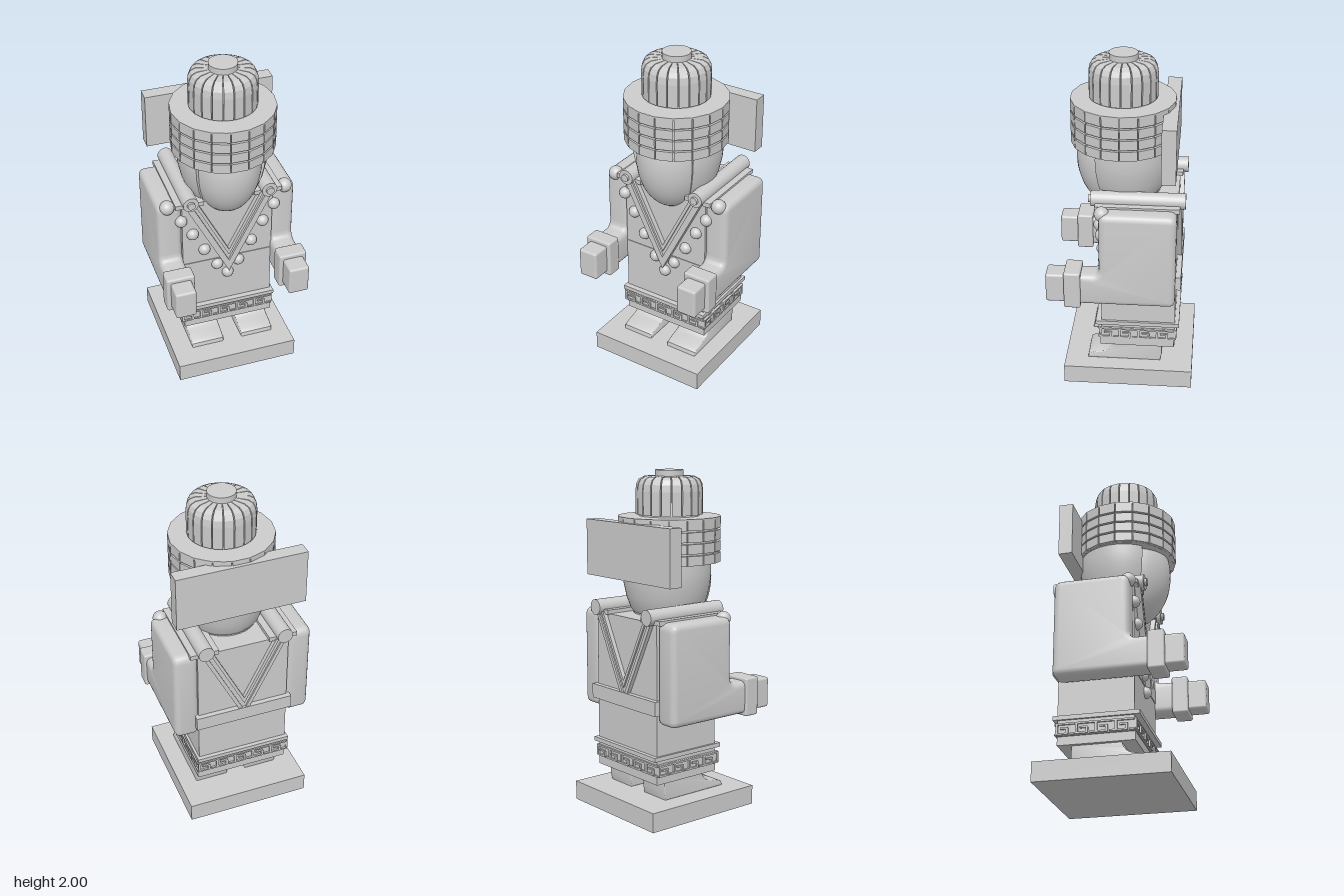
import * as THREE from 'three';
import { RoundedBoxGeometry } from 'three/addons/geometries/RoundedBoxGeometry.js';
import { toCreasedNormals } from 'three/addons/utils/BufferGeometryUtils.js';

const grey = new THREE.MeshStandardMaterial({ color: 0xcccccc });
const greyDouble = new THREE.MeshStandardMaterial({ color: 0xcccccc, side: THREE.DoubleSide });

export function createModel() {
  const root = new THREE.Group();
  const group = (name) => {
    const g = new THREE.Group();
    g.name = name;
    root.add(g);
    return g;
  };
  const add = (name, geo, x = 0, y = 0, z = 0, parent = root, mat = grey) => {
    const m = new THREE.Mesh(geo, mat);
    m.name = name;
    m.position.set(x, y, z);
    parent.add(m);
    return m;
  };
  // box given by its limits on each axis, optionally rounded
  const box = (name, x0, x1, y0, y1, z0, z1, parent = root, r = 0) => {
    const s = [x1 - x0, y1 - y0, z1 - z0];
    const geo = r ? new RoundedBoxGeometry(...s, 3, r) : new THREE.BoxGeometry(...s);
    return add(name, geo, (x0 + x1) / 2, (y0 + y1) / 2, (z0 + z1) / 2, parent);
  };
  const polygon = (pts) => new THREE.Shape(pts.map(([x, y]) => new THREE.Vector2(x, y)));
  // ring sector with an (r, y) profile, centred on angle a (0 = front)
  const wedge = (profile, a, span) => {
    const geo = new THREE.ExtrudeGeometry(polygon(profile), { depth: 1, bevelEnabled: false });
    const p = geo.attributes.position;
    for (let i = 0; i < p.count; i++) {
      const r = p.getX(i), t = a + (0.5 - p.getZ(i)) * span;
      p.setXYZ(i, r * Math.sin(t), p.getY(i), r * Math.cos(t));
    }
    geo.computeVertexNormals();
    return geo;
  };
  // side profile in (z, y), extruded across x and centred on x
  const sideExtrude = (shape, width, bevel) => {
    const geo = new THREE.ExtrudeGeometry(shape, {
      depth: width - 2 * bevel, bevelEnabled: bevel > 0, bevelSize: bevel,
      bevelThickness: bevel, bevelOffset: -bevel, bevelSegments: 4, curveSegments: 8,
    });
    geo.translate(0, 0, -(width - 2 * bevel) / 2);
    geo.rotateY(-Math.PI / 2);
    return toCreasedNormals(geo, 0.6);
  };

  box('base', -0.375, 0.375, 0, 0.115, -0.43, 0.34);

  // feet: rounded toe, instep and heel
  const foot = new THREE.Shape();
  foot.moveTo(-0.235, 0.115);
  foot.lineTo(0.205, 0.115);
  foot.lineTo(0.2, 0.14);
  foot.quadraticCurveTo(0.18, 0.155, 0.1, 0.17);
  foot.quadraticCurveTo(0.055, 0.18, 0.04, 0.24);
  foot.lineTo(-0.245, 0.24);
  foot.lineTo(-0.245, 0.16);
  foot.closePath();
  for (const s of [-1, 1]) add('foot', sideExtrude(foot, 0.205, 0.008), 0.01 + s * 0.16, 0, 0);

  // skirt and torso
  box('skirt', -0.275, 0.28, 0.23, 0.7, -0.32, 0.12);
  box('torso', -0.275, 0.28, 0.7, 1.17, -0.32, 0.12);
  box('hemTrim', -0.288, 0.295, 0.375, 0.4, -0.345, 0.153);
  box('hemBottom', -0.275, 0.288, 0.23, 0.285, -0.315, 0.125);
  box('hemBand', -0.288, 0.286, 0.28, 0.352, -0.32, 0.128);

  // raised meander on all four sides of the hem
  const strokes = [[0, 0.029, 1, 0.01], [-0.45, 0, 0.12, 0.06], [-0.2, -0.029, 0.6, 0.01],
    [0.08, -0.014, 0.12, 0.034], [-0.08, 0.003, 0.4, 0.01], [0.36, -0.029, 0.3, 0.01]];
  const meander = group('hemMeander');
  const face = (length, count, x, z, turn) => {
    const side = new THREE.Group();
    side.position.set(x, 0.317, z);
    side.rotation.y = turn;
    meander.add(side);
    const u = length / count;
    for (let i = 0; i < count; i++) for (const [sx, sy, w, h] of strokes)
      add('meanderStroke', new THREE.BoxGeometry(w * u, h, 0.014), (i + 0.5 + sx) * u - length / 2, sy, 0, side);
  };
  face(0.58, 5, -0.002, 0.13, 0);
  face(0.58, 5, -0.002, -0.324, Math.PI);
  face(0.45, 4, 0.288, -0.097, Math.PI / 2);
  face(0.45, 4, -0.292, -0.097, -Math.PI / 2);

  // V-shaped collar bands, front and back
  const chevron = (name, outer, inner, z, depth) => {
    const top = 1.18, k = 0.5;
    const shape = polygon([[0, outer], [(top - outer) * k, top], [(top - inner) * k, top], [0, inner],
      [-(top - inner) * k, top], [-(top - outer) * k, top]]);
    add(name, new THREE.ExtrudeGeometry(shape, { depth, bevelEnabled: false }), 0.003, 0, z);
  };
  chevron('frontCollarOuter', 0.64, 0.72, 0.11, 0.045);
  chevron('frontCollarMiddle', 0.72, 0.76, 0.11, 0.03);
  chevron('frontCollarInner', 0.76, 0.8, 0.11, 0.04);
  chevron('backCollarOuter', 0.66, 0.71, -0.345, 0.04);
  chevron('backCollarMiddle', 0.71, 0.76, -0.335, 0.03);
  chevron('backCollarInner', 0.76, 0.8, -0.345, 0.04);
  box('backBelt', -0.295, 0.3, 0.645, 0.73, -0.35, -0.3);
  box('frontBelt', -0.275, 0.28, 0.645, 0.73, 0.1, 0.124);

  // bead necklace
  const beads = group('beads');
  const bead = (x, y, z, r) => add('bead', new THREE.SphereGeometry(r, 20, 14), x, y, z, beads);
  for (const s of [-1, 1]) {
    bead(s * 0.358, 1.165, 0.105, 0.043);
    for (const [x, y] of [[0.285, 1.06], [0.217, 0.95], [0.146, 0.82], [0.067, 0.69]]) bead(s * x + 0.003, y, 0.122, 0.036);
  }
  bead(0.003, 0.61, 0.122, 0.036);

  // arms: broad sleeve with forearm reaching forward
  const arm = new THREE.Shape();
  arm.moveTo(-0.28, 0.59);
  arm.lineTo(0.26, 0.59);
  arm.lineTo(0.26, 0.785);
  arm.lineTo(0.16, 0.785);
  arm.quadraticCurveTo(0.12, 0.785, 0.12, 0.83);
  arm.lineTo(0.12, 1.13);
  arm.quadraticCurveTo(0.12, 1.18, 0.07, 1.18);
  arm.lineTo(-0.27, 1.18);
  arm.quadraticCurveTo(-0.32, 1.18, -0.32, 1.13);
  arm.lineTo(-0.32, 0.63);
  arm.quadraticCurveTo(-0.32, 0.59, -0.28, 0.59);
  for (const s of [-1, 1]) {
    const g = group(s > 0 ? 'leftArm' : 'rightArm');
    g.position.x = s * 0.347;
    add('sleeve', sideExtrude(arm, 0.145, 0.035), 0, 0, 0, g);
    box('cuff', -0.085, 0.085, 0.575, 0.805, 0.225, 0.322, g, 0.012);
    box('hand', -0.062, 0.062, 0.6, 0.78, 0.3, 0.43, g, 0.014);
  }

  // shoulder rods with ringed ends, resting on flat straps
  for (const s of [-1, 1]) {
    const x = s * 0.238 + 0.003;
    const rod = new THREE.CylinderGeometry(0.046, 0.046, 0.54, 24).rotateX(Math.PI / 2);
    add('shoulderRod', rod, x, 1.203, -0.095);
    add('rodKnob', new THREE.CylinderGeometry(0.023, 0.023, 0.02, 20).rotateX(Math.PI / 2), x, 1.203, 0.18);
    box('shoulderStrap', x - 0.085, x + 0.085, 1.165, 1.192, -0.335, 0.148);
  }

  // head: rounded face inside a hair shell open at the front
  const faceGeo = new THREE.SphereGeometry(1, 40, 28).scale(0.207, 0.325, 0.24);
  add('face', faceGeo, 0.012, 1.375, 0.038);
  const hairPts = [[0, 1.16], [0.19, 1.165], [0.215, 1.2], [0.24, 1.27], [0.257, 1.35], [0.263, 1.42], [0.26, 1.5]]
    .map(([r, y]) => new THREE.Vector2(r, y));
  const open = 0.9;
  add('hair', new THREE.LatheGeometry(hairPts, 40, open, Math.PI * 2 - open * 2), 0.01, 0, -0.01, root, greyDouble);
  for (const s of [-1, 1]) {
    const edge = polygon([[0.15, 1.18], [0.215, 1.2], [0.24, 1.27], [0.257, 1.35], [0.263, 1.42], [0.26, 1.5], [0.15, 1.5]]);
    const m = add('hairEdge', new THREE.ShapeGeometry(edge), 0.01, 0, -0.01, root, greyDouble);
    m.rotation.y = s * open - Math.PI / 2;
  }
  add('neck', new THREE.CylinderGeometry(0.19, 0.19, 0.06, 32), 0.01, 1.175, -0.02);

  // headdress band: rows of tiles round a core
  const hat = group('headdress');
  hat.position.set(0.01, 0, 0.008);
  add('bandCore', new THREE.CylinderGeometry(0.282, 0.282, 0.264, 36), 0, 1.603, 0, hat);
  const seg = Math.PI / 9;
  for (let row = 0; row < 4; row++) {
    const y0 = 1.472 + row * 0.0665, y1 = y0 + 0.056 + (row === 3 ? 0.008 : 0);
    const tile = [[0.26, y0], [0.302, y0], [0.302, y1], [0.26, y1]];
    for (let i = 0; i < 18; i++) add('bandTile', wedge(tile, i * seg, seg * 0.94), 0, 0, 0, hat);
  }
  add('bandTop', new THREE.CylinderGeometry(0.302, 0.302, 0.01, 18).rotateY(seg / 2), 0, 1.731, 0, hat);

  // ribbed crown
  add('crownCore', new THREE.CylinderGeometry(0.15, 0.178, 0.225, 32), 0, 1.84, 0, hat);
  const rib = [[0.06, 1.745], [0.196, 1.745], [0.197, 1.88], [0.192, 1.92], [0.178, 1.947], [0.15, 1.962], [0.06, 1.966]];
  const ribSeg = Math.PI / 10;
  for (let i = 0; i < 20; i++) add('crownRib', wedge(rib, (i + 0.5) * ribSeg, ribSeg * 0.89), 0, 0, 0, hat);
  add('crownButton', new THREE.CylinderGeometry(0.082, 0.082, 0.05, 32), 0, 1.975, 0, hat);

  // slab behind the headdress
  box('backBoard', -0.377, 0.393, 1.377, 1.707, -0.31, -0.228);
  return root;
}
